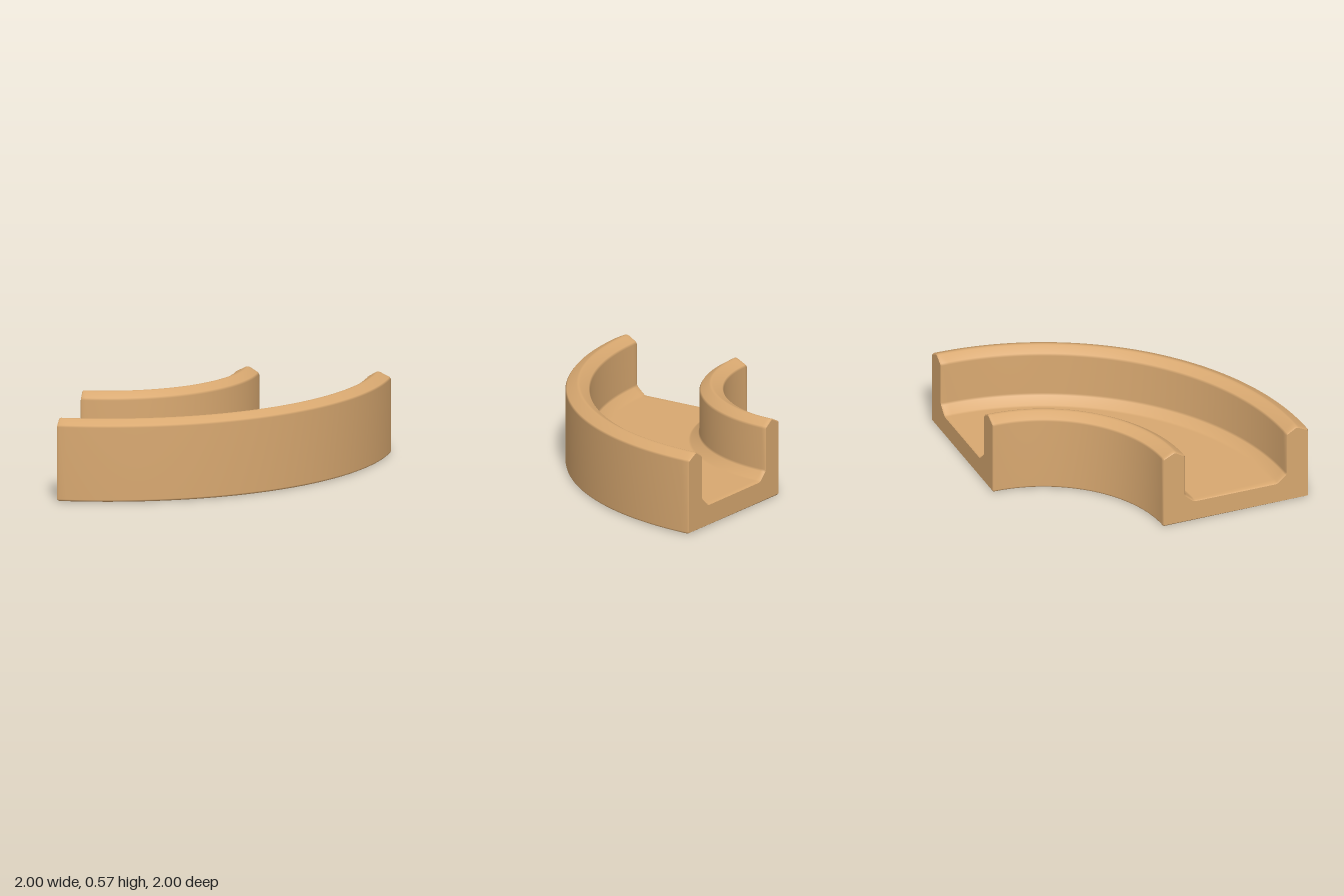
import * as THREE from 'three';

// Cross-section of the channel: (radius, height), counter-clockwise
const PROFILE = [
  [0.912, 0], [1.988, 0], [1.997, 0.004], [2, 0.014],          // underside
  [2, 0.525], [1.99, 0.538], [1.925, 0.57], [1.91, 0.574], [1.895, 0.57], // outer rim
  [1.838, 0.535], [1.828, 0.52],
  [1.828, 0.225], [1.82, 0.21], [1.765, 0.162], [1.745, 0.157], // outer fillet
  [1.145, 0.157], [1.13, 0.162], [1.077, 0.21], [1.07, 0.225],  // inner fillet
  [1.07, 0.52], [1.06, 0.535], [1.005, 0.57], [0.99, 0.574], [0.975, 0.57], // inner rim
  [0.91, 0.538], [0.9, 0.525],
  [0.9, 0.014], [0.903, 0.004],
].map(([r, y]) => new THREE.Vector2(r, y));

// Shrinks a closed counter-clockwise outline by a distance
function inset(points, d) {
  const n = points.length;
  return points.map((p, i) => {
    const a = p.clone().sub(points[(i + n - 1) % n]).normalize();
    const b = points[(i + 1) % n].clone().sub(p).normalize();
    const na = new THREE.Vector2(-a.y, a.x);
    const nb = new THREE.Vector2(-b.y, b.x);
    const scale = d / (1 + na.dot(nb));
    return p.clone().addScaledVector(na.add(nb), scale);
  });
}

// Places an outline point on the quarter circle around the corner (-1, -1)
const place = (p, angle) => [-1 + p.x * Math.cos(angle), p.y, -1 + p.x * Math.sin(angle)];

function toGeometry(positions, indices) {
  const g = new THREE.BufferGeometry();
  g.setAttribute('position', new THREE.Float32BufferAttribute(positions, 3));
  g.setIndex(indices);
  g.computeVertexNormals();
  return g;
}

// Sweeps the section through the quarter turn, with slightly bevelled ends
function sweep(small, segments, bevelAngle) {
  const end = Math.PI / 2;
  const rings = [[small, 0]];
  for (let i = 0; i <= segments; i++) {
    rings.push([PROFILE, bevelAngle + (end - 2 * bevelAngle) * i / segments]);
  }
  rings.push([small, end]);
  const n = PROFILE.length, positions = [], indices = [];
  for (const [outline, angle] of rings) {
    for (const p of outline) positions.push(...place(p, angle));
  }
  for (let i = 0; i < rings.length - 1; i++) {
    for (let j = 0; j < n; j++) {
      const a = i * n + j, b = i * n + (j + 1) % n;
      indices.push(a, b, b + n, a, b + n, a + n);
    }
  }
  return toGeometry(positions, indices);
}

// Flat end face
function cap(small, angle, flip) {
  const positions = small.flatMap((p) => place(p, angle));
  const indices = THREE.ShapeUtils.triangulateShape(small, [])
    .flatMap(([a, b, c]) => (flip ? [a, c, b] : [a, b, c]));
  return toGeometry(positions, indices);
}

export function createModel() {
  const group = new THREE.Group();
  group.name = 'curvedTrack';
  const wood = new THREE.MeshStandardMaterial({ color: 0xd8a870 });
  wood.name = 'wood';

  const small = inset(PROFILE, 0.008);
  const add = (name, geometry) => {
    const mesh = new THREE.Mesh(geometry, wood);
    mesh.name = name;
    group.add(mesh);
  };
  add('curvedChannel', sweep(small, 64, 0.007));
  add('backEnd', cap(small, 0, true));
  add('rightEnd', cap(small, Math.PI / 2, false));
  return group;
}
